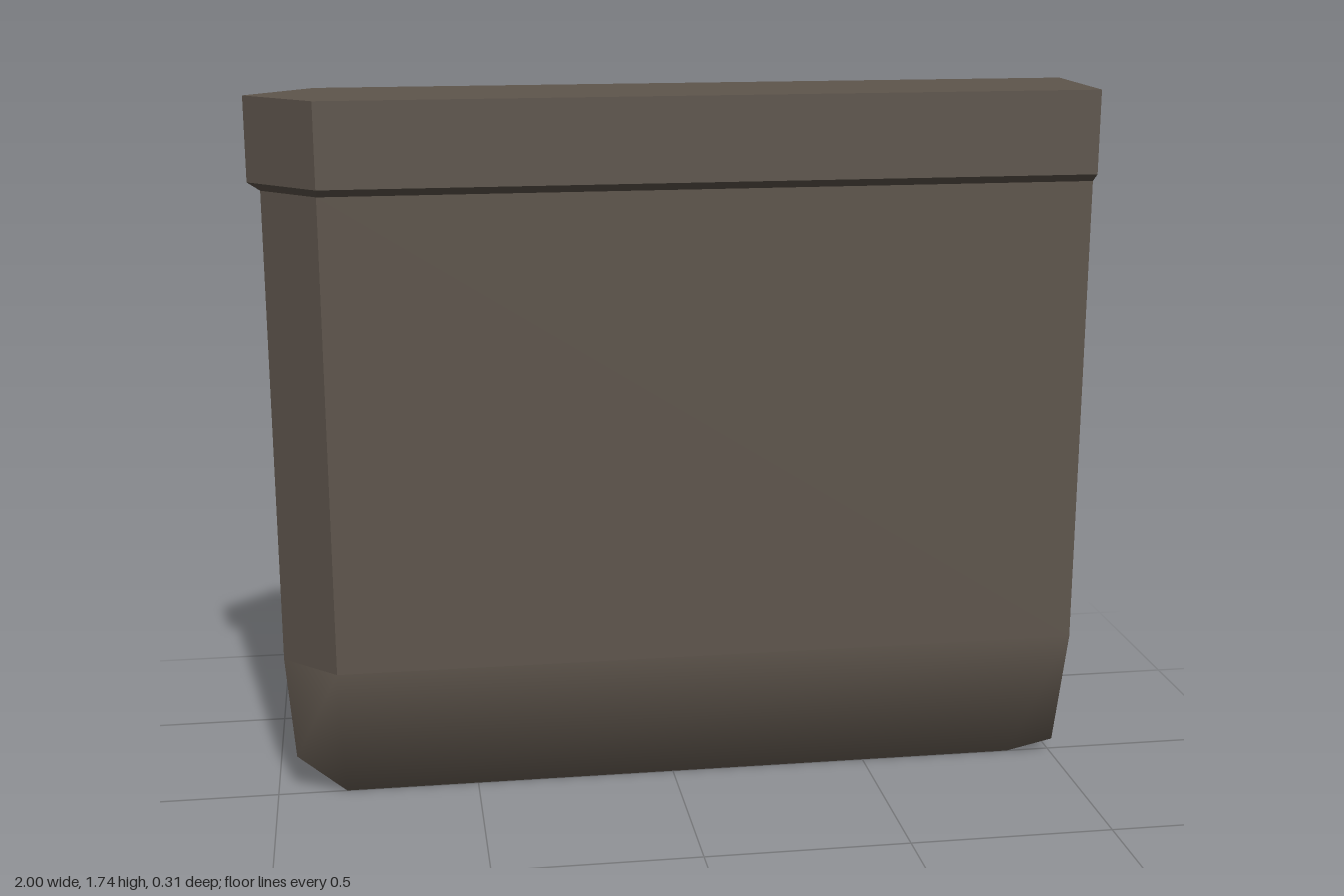
import * as THREE from 'three';

// Flat-shaded solid from pointed-end cross-sections, listed top to bottom: [y, noseX, halfWidth]
const SHOULDER = -0.84, END = 1;

function ring([y, nose, h]) {
  return [[nose, y, 0], [SHOULDER, y, h], [END, y, h], [END, y, -h], [SHOULDER, y, -h]];
}

function pointedSolid(levels, closeTop) {
  const pos = [];
  const tri = (a, b, c) => pos.push(...a, ...b, ...c);
  const rings = levels.map(ring);
  for (let k = 0; k < rings.length - 1; k++) {
    const up = rings[k], low = rings[k + 1];
    for (let i = 0; i < 5; i++) {
      const j = (i + 1) % 5;
      tri(up[i], low[i], low[j]);
      tri(up[i], low[j], up[j]);
    }
  }
  if (closeTop) for (let i = 1; i < 4; i++) tri(rings[0][0], rings[0][i], rings[0][i + 1]);
  const g = new THREE.BufferGeometry();
  g.setAttribute('position', new THREE.Float32BufferAttribute(pos, 3));
  g.computeVertexNormals();
  return g;
}

// Tapered lower edge: one side with softened normals, mirrored across z
function taperGeometry() {
  const pos = [], nor = [];
  const push = (p, n) => {
    pos.push(...p);
    nor.push(...new THREE.Vector3(...n).normalize().toArray());
  };
  const flip = ([x, y, z]) => [x, y, -z];
  const P = {
    A: [[SHOULDER, 0.36, 0.127], [-0.3, 0, 0.95]],
    B: [[END, 0.36, 0.127], [0, 0, 1]],
    C: [[END, 0.04, 0.03], [0, -0.6, 0.8]],
    D: [[0.89, 0, 0], [0, -0.6, 0.8]],
    E: [[-0.83, 0, 0], [-0.1, -0.6, 0.8]],
    F: [[-0.95, 0.1, 0], [-0.6, -0.25, 0.75]],
    G: [[-0.97, 0.36, 0], [-0.7, 0, 0.7]],
  };
  for (const face of ['BAE', 'BED', 'BDC', 'AGF', 'AFE']) {
    const pts = [...face].map((k) => P[k]);
    pts.forEach(([p, n]) => push(p, n));
    [...pts].reverse().forEach(([p, n]) => push(flip(p), flip(n)));
  }
  // Flat end and the small bevel under it
  const B = P.B[0], C = P.C[0], D = P.D[0], b = flip(B), c = flip(C);
  [B, C, c, B, c, b].forEach((p) => push(p, [1, 0, 0]));
  [C, D, c].forEach((p) => push(p, [0.34, -0.94, 0]));
  const g = new THREE.BufferGeometry();
  g.setAttribute('position', new THREE.Float32BufferAttribute(pos, 3));
  g.setAttribute('normal', new THREE.Float32BufferAttribute(nor, 3));
  return g;
}

export function createModel() {
  const model = new THREE.Group();
  model.name = 'pointedSlab';
  const stone = new THREE.MeshStandardMaterial({ color: 0x5e554c });
  stone.name = 'darkStone';

  const add = (name, geometry) => {
    const mesh = new THREE.Mesh(geometry, stone);
    mesh.name = name;
    model.add(mesh);
  };
  // Overhanging cap with a chamfered underside
  add('cap', pointedSolid([[1.74, -1, 0.157], [1.54, -1, 0.157], [1.52, -0.97, 0.127]], true));
  // Upright wall
  add('body', pointedSolid([[1.52, -0.97, 0.127], [0.36, -0.97, 0.127]], false));
  // Wedge that narrows to the bottom edge
  add('taperedBase', taperGeometry());
  return model;
}
